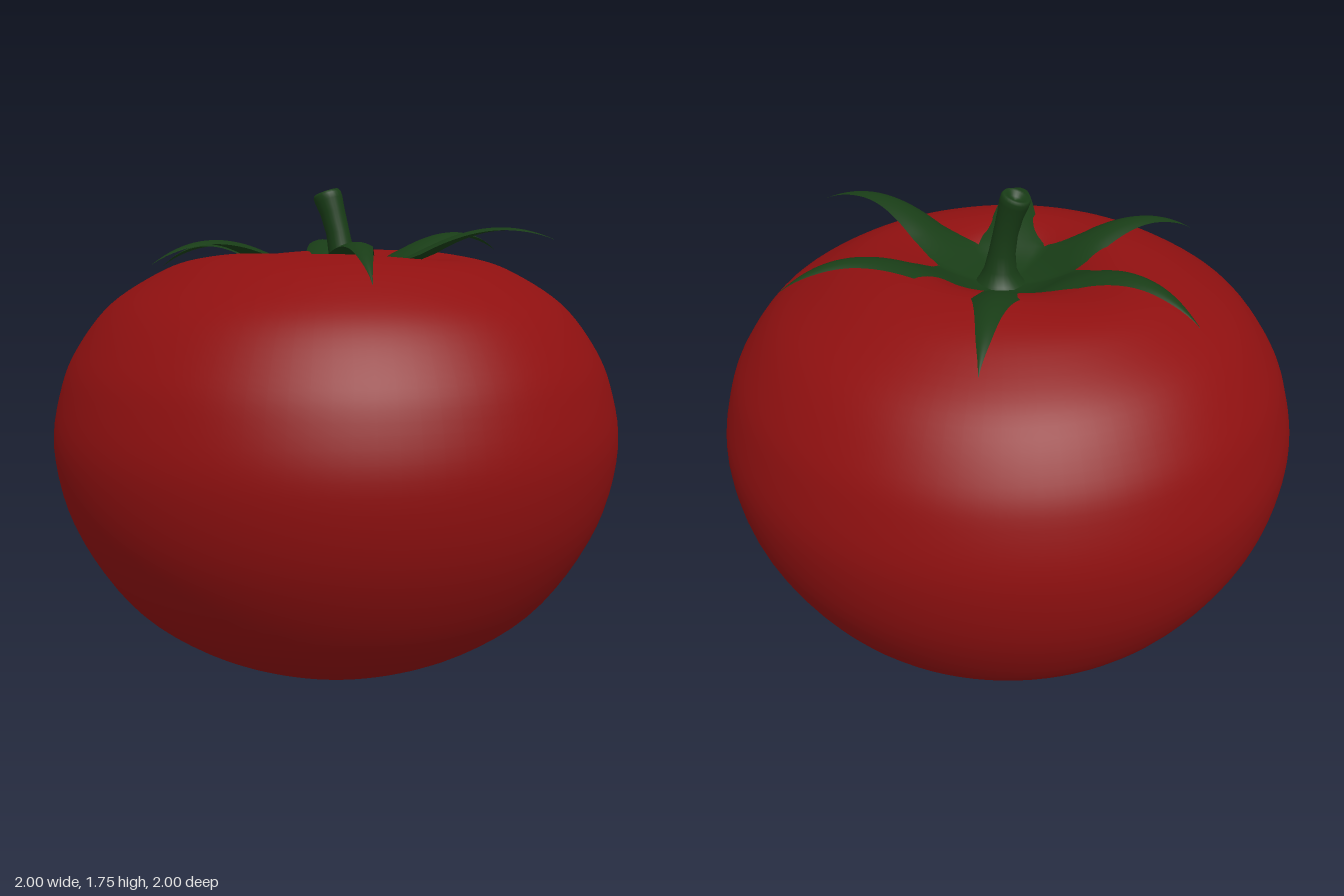
import * as THREE from 'three';
import { mergeGeometries, mergeVertices } from 'three/addons/utils/BufferGeometryUtils.js';

const V2 = (a) => a.map(([x, y]) => new THREE.Vector2(x, y));

// Move every vertex by a rule, weld the seams and recompute smooth normals
function reshape(geo, rule) {
  const p = geo.attributes.position;
  const v = new THREE.Vector3();
  for (let i = 0; i < p.count; i++) {
    rule(v.fromBufferAttribute(p, i));
    p.setXYZ(i, v.x, v.y, v.z);
  }
  geo.deleteAttribute('uv');
  geo.deleteAttribute('normal');
  const welded = mergeVertices(geo, 1e-4);
  welded.computeVertexNormals();
  return welded;
}

// Fruit: a revolved profile with a dimple, its shoulder dipping gently at both sides
function fruitGeometry() {
  const profile = new THREE.SplineCurve(V2([
    [0, 0], [0.18, 0.02], [0.37, 0.078], [0.6, 0.19], [0.79, 0.35], [0.945, 0.61],
    [1, 0.87], [0.965, 1.08], [0.9, 1.22], [0.79, 1.355], [0.63, 1.458], [0.5, 1.512],
    [0.38, 1.532], [0.28, 1.508], [0.18, 1.445], [0.09, 1.4], [0, 1.39],
  ])).getPoints(80);
  profile[0].x = profile[80].x = 0;
  return reshape(new THREE.LatheGeometry(profile, 96), (v) => {
    const r = Math.hypot(v.x, v.z);
    if (v.y < 1 || r < 1e-4) return;
    const side = Math.pow(v.x / r, 4);
    v.y -= 0.03 * side * Math.exp(-Math.pow((r - 0.36) / 0.14, 2));
  });
}

// One sepal: a wedge of the central cup running out into an arched, tapering blade
const CUP = 0.2;
const taper = new THREE.SplineCurve(V2([
  [0, 0.1155], [0.09, 0.088], [0.25, 0.064], [0.5, 0.042], [0.75, 0.023], [1, 0.001],
]));
function sepalGeometry({ angle, length, peak, tip, sway = 0, drift = 0 }) {
  const rows = 32, cols = 8;
  const pos = [], index = [];
  const c = Math.cos(angle), s = Math.sin(angle);
  for (let i = 0; i <= rows; i++) {
    const r = i <= 8 ? (CUP * i) / 8 : CUP + ((length - CUP) * (i - 8)) / (rows - 8);
    const t = Math.max(0, (r - CUP) / (length - CUP));
    const q = 1 - t;
    const half = t > 0 ? taper.getPoint(t).y : r * Math.tan(Math.PI / 6);
    const arch = q ** 3 * 1.475 + 3 * q * q * t * 1.585 + 3 * q * t * t * peak + t ** 3 * tip;
    const bend = sway * Math.sin(Math.PI * t) * t + drift * t * t;
    for (let j = 0; j <= cols; j++) {
      const k = (2 * j) / cols - 1;
      const w = half * k + bend;
      const y = t > 0 ? arch - 0.3 * half * k * k * Math.min(1, t * 4)
        : 1.415 + 0.06 * (r / CUP) ** 2;
      pos.push(c * r - s * w, y, s * r + c * w - 0.01);
      if (i < rows && j < cols) {
        const a = i * (cols + 1) + j, b = a + cols + 1;
        index.push(a, a + 1, b, a + 1, b + 1, b);
      }
    }
  }
  const geo = new THREE.BufferGeometry();
  geo.setAttribute('position', new THREE.Float32BufferAttribute(pos, 3));
  geo.setIndex(index);
  return geo;
}

// Calyx: six sepals welded into one star
function calyxGeometry() {
  const sepals = [
    { length: 0.77, peak: 1.67, tip: 1.575, sway: 0.05, drift: -0.04 },
    { length: 0.745, peak: 1.63, tip: 1.45, drift: -0.015 },
    { length: 0.73, peak: 1.62, tip: 1.5, drift: 0.01 },
    { length: 0.74, peak: 1.6, tip: 1.47, sway: -0.02, drift: 0.03 },
    { length: 0.77, peak: 1.62, tip: 1.47, drift: 0.01 },
    { length: 0.77, peak: 1.66, tip: 1.53, drift: 0.01 },
  ].map((o, i) => sepalGeometry({ ...o, angle: (i * Math.PI) / 3 }));
  const geo = mergeVertices(mergeGeometries(sepals), 1e-4);
  geo.computeVertexNormals();
  return geo;
}

// Stem: a flared stalk with a hollowed end, bent towards -x
function stemGeometry() {
  const stalk = new THREE.LatheGeometry(V2([
    [0.11, 1.4], [0.075, 1.43], [0.055, 1.47], [0.045, 1.53], [0.041, 1.6], [0.043, 1.67],
    [0.048, 1.71], [0.048, 1.728], [0.043, 1.737], [0.03, 1.736], [0.022, 1.722], [0, 1.718],
  ]), 24);
  return reshape(stalk, (v) => {
    const t = (v.y - 1.4) / 0.337;
    v.y += 0.35 * v.x * t;
    v.x += 0.025 - 0.068 * t * t;
    v.z -= 0.012;
  });
}

export function createModel() {
  const red = new THREE.MeshStandardMaterial({ color: 0x8f1010 });
  const green = new THREE.MeshStandardMaterial({ color: 0x183c16, side: THREE.DoubleSide });
  const group = new THREE.Group();
  group.name = 'tomato';
  const add = (name, geo, mat) => {
    const mesh = new THREE.Mesh(geo, mat);
    mesh.name = name;
    group.add(mesh);
  };
  add('fruit', fruitGeometry(), red);
  add('calyx', calyxGeometry(), green);
  add('stem', stemGeometry(), green);
  return group;
}
